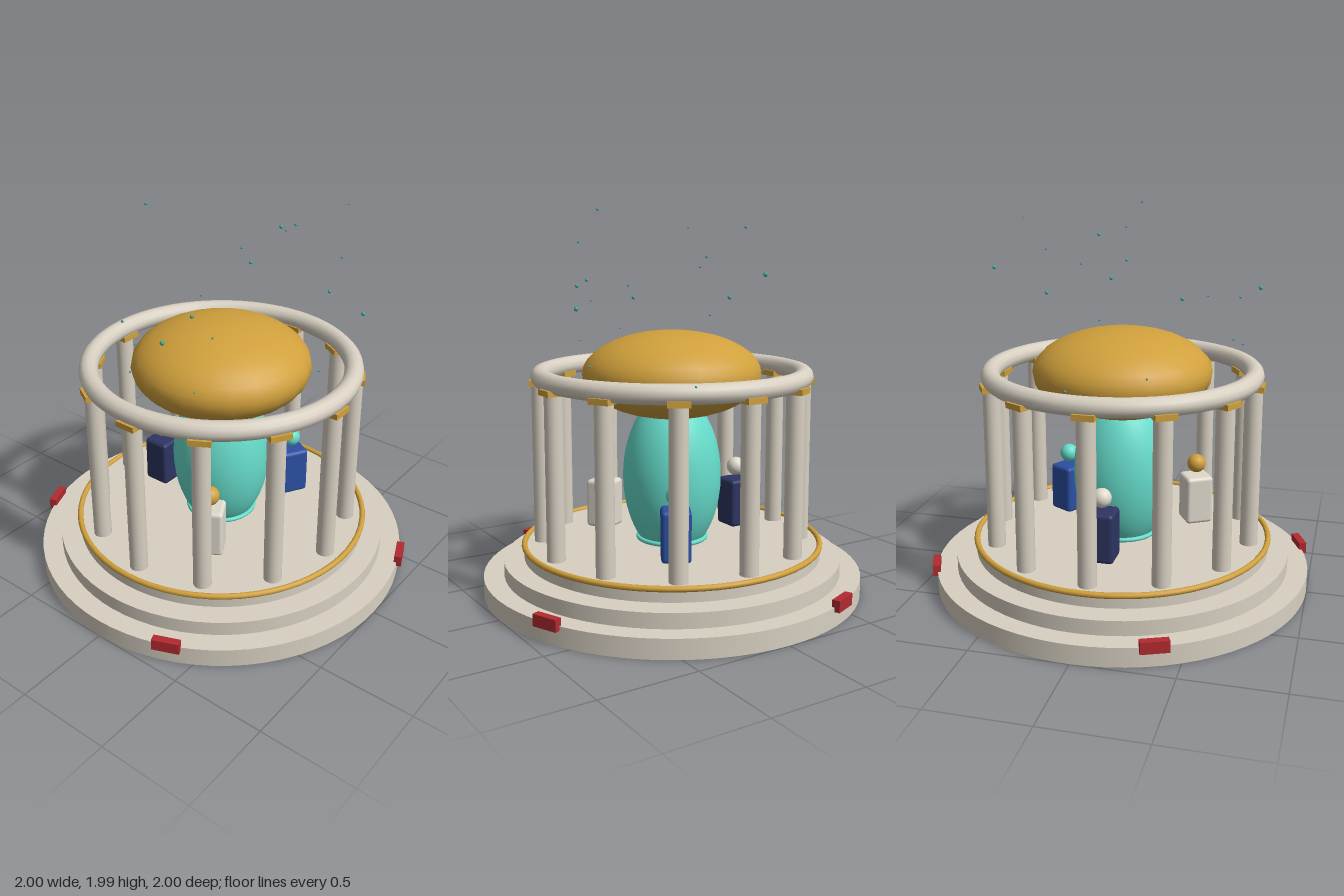
import * as THREE from 'three';
import { RoundedBoxGeometry } from 'three/addons/geometries/RoundedBoxGeometry.js';

function material(name, color) {
  const m = new THREE.MeshStandardMaterial({ color });
  m.name = name;
  return m;
}

export function createModel() {
  const root = new THREE.Group();
  root.name = 'rotunda';

  const stone = material('stone', 0xd8d0c2);
  const gold = material('gold', 0xd0a03c);
  const teal = material('teal', 0x66dccb);
  const blue = material('royal blue', 0x2c4fa3);
  const navy = material('navy', 0x2d3561);
  const ivory = material('ivory', 0xe0dacd);
  const red = material('red', 0xb22a30);
  const mote = material('mote teal', 0x3fa89a);

  function add(name, geometry, mat, y = 0, parent = root) {
    const mesh = new THREE.Mesh(geometry, mat);
    mesh.name = name;
    mesh.position.y = y;
    parent.add(mesh);
    return mesh;
  }

  // Empty group on a circle, its +z pointing outwards
  function around(name, degrees, radius) {
    const a = THREE.MathUtils.degToRad(degrees);
    const g = new THREE.Group();
    g.name = name;
    g.position.set(Math.sin(a) * radius, 0, Math.cos(a) * radius);
    g.rotation.y = a;
    root.add(g);
    return g;
  }

  function ring(name, radius, tube, y, mat) {
    const geometry = new THREE.TorusGeometry(radius, tube, 12, 64);
    geometry.rotateX(Math.PI / 2);
    return add(name, geometry, mat, y);
  }

  // Stepped base: [name, radius, bottom, top]
  const tiers = [
    ['lowerStep', 1, 0, 0.1],
    ['middleStep', 0.893, 0.1, 0.177],
    ['upperStep', 0.787, 0.185, 0.248],
  ];
  for (const [name, r, y0, y1] of tiers) {
    add(name, new THREE.CylinderGeometry(r, r, y1 - y0, 72), stone, (y0 + y1) / 2);
  }
  ring('floorTrim', 0.785, 0.015, 0.25, gold);

  // Colonnade with square capitals
  const shaft = new THREE.CylinderGeometry(0.047, 0.047, 0.85, 20);
  const capital = new THREE.BoxGeometry(0.11, 0.03, 0.11);
  for (let i = 0; i < 12; i++) {
    const g = around('column', i * 30, 0.687);
    add('columnShaft', shaft, stone, 0.67, g);
    add('columnCapital', capital, gold, 1.1, g);
  }
  ring('topRing', 0.685, 0.05, 1.14, stone);

  // Central vessel and flattened canopy
  add('vessel', new THREE.SphereGeometry(0.26, 36, 24), teal, 0.6).scale.y = 0.44 / 0.26;
  ring('vesselFoot', 0.18, 0.012, 0.268, teal);
  add('canopy', new THREE.SphereGeometry(0.47, 24, 18), gold, 1.142).scale.y = 0.228 / 0.47;

  // Three figures: [angle, body colour, head colour]
  const body = new RoundedBoxGeometry(0.15, 0.262, 0.15, 3, 0.02);
  const head = new THREE.SphereGeometry(0.05, 20, 14);
  for (const [angle, bodyMat, headMat] of [
    [60, blue, teal],
    [-60, ivory, gold],
    [180, navy, ivory],
  ]) {
    const g = around('figure', angle, 0.42);
    add('figureBody', body, bodyMat, 0.4, g);
    add('figureHead', head, headMat, 0.595, g);
  }

  // Red plaques on the rim of the base
  const plaque = new THREE.BoxGeometry(0.14, 0.06, 0.04);
  for (let i = 0; i < 4; i++) {
    add('plaque', plaque, red, 0.107, around('plaqueMount', 22.5 + i * 90, 1.003));
  }

  // Floating motes: [x, y, z, radius]
  const motes = [
    [0, 1.98, 0.43, 0.007], [-0.01, 1.9, -0.476, 0.008], [0.64, 1.89, 0.325, 0.004],
    [0.13, 1.825, 0.605, 0.006], [0.435, 1.755, 0.083, 0.006], [0.21, 1.7, -0.033, 0.006],
    [0.655, 1.675, -0.097, 0.011], [0.117, 1.645, 0.556, 0.008], [-0.68, 1.575, 0.2, 0.011],
    [-0.617, 1.573, -0.097, 0.007], [0.375, 1.555, -0.095, 0.01], [-0.4, 1.51, 0.26, 0.005],
    [-0.3, 1.525, 0.055, 0.01], [0.24, 1.52, 0.677, 0.011], [0.07, 1.445, -0.19, 0.006],
    [-0.63, 1.33, -0.05, 0.005], [-0.54, 1.285, 0.26, 0.005], [0.093, 1.225, 0.535, 0.006],
    [0.655, 1.178, 0.29, 0.006], [-0.22, 1.21, -0.395, 0.006], [0.17, 1.14, -0.46, 0.007],
  ];
  for (const [x, y, z, r] of motes) {
    add('mote', new THREE.SphereGeometry(r, 8, 6), mote).position.set(x, y, z);
  }

  return root;
}
